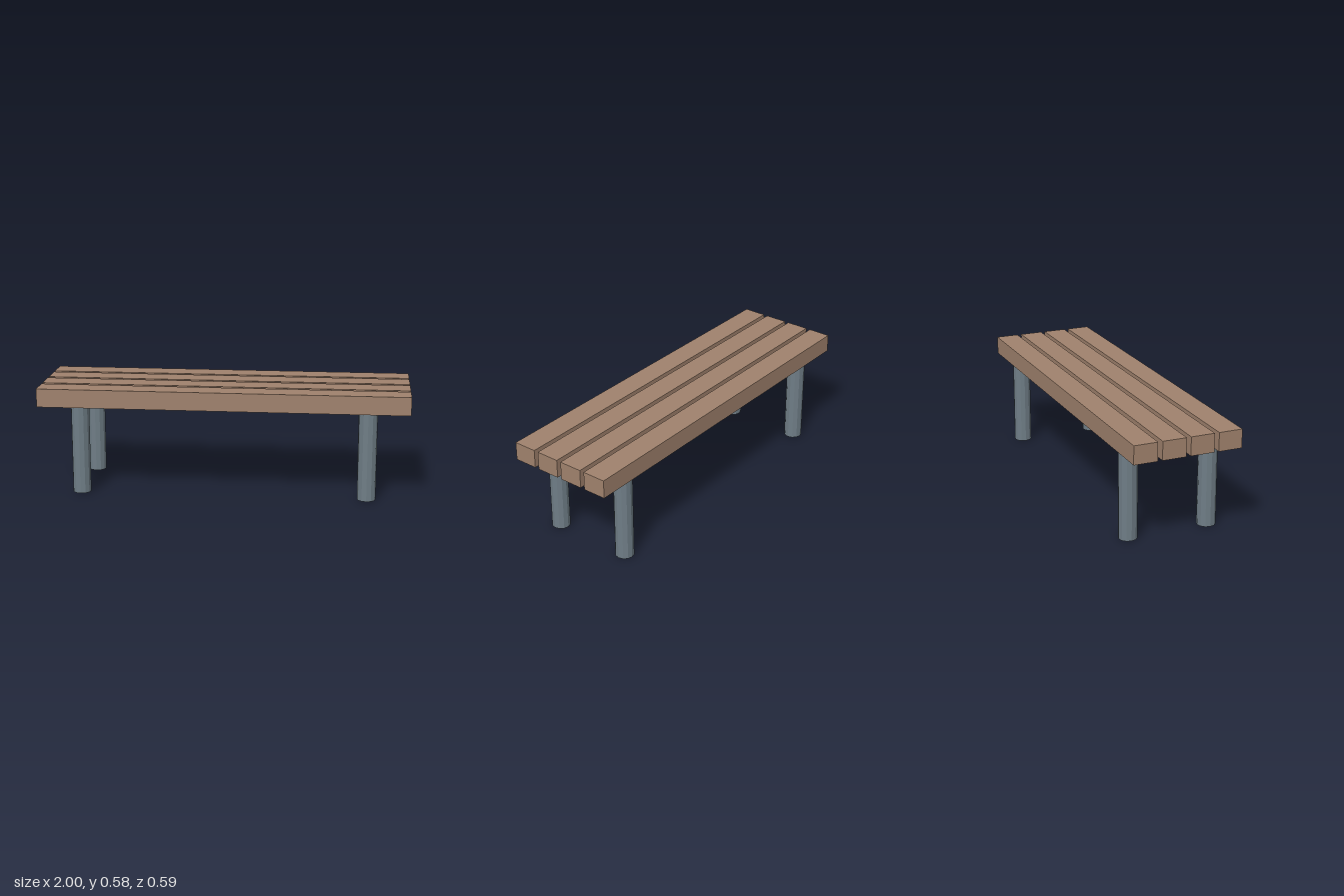
import * as THREE from 'three';

export function createModel() {
  const bench = new THREE.Group();
  bench.name = 'bench';

  const wood = new THREE.MeshStandardMaterial({ color: 0xa0826d });
  wood.name = 'wood';
  const metal = new THREE.MeshStandardMaterial({ color: 0x6f7d86 });
  metal.name = 'metal';

  const legHeight = 0.485;
  const plankHeight = 0.1;
  const plankDepth = 0.128;
  const plankSpacing = 0.1527;

  // Four seat planks with narrow gaps
  const plankGeometry = new THREE.BoxGeometry(2, plankHeight, plankDepth);
  for (let i = 0; i < 4; i++) {
    const plank = new THREE.Mesh(plankGeometry, wood);
    plank.name = `seatPlank${i + 1}`;
    plank.position.set(0, legHeight + plankHeight / 2, (i - 1.5) * plankSpacing);
    bench.add(plank);
  }

  // Four twelve-sided legs, faceted without changing the material
  const legGeometry = new THREE.CylinderGeometry(0.05, 0.05, legHeight, 12).toNonIndexed();
  legGeometry.computeVertexNormals();
  for (const x of [-1, 1]) {
    for (const z of [-1, 1]) {
      const leg = new THREE.Mesh(legGeometry, metal);
      leg.name = `${z > 0 ? 'front' : 'back'}${x > 0 ? 'Left' : 'Right'}Leg`;
      leg.position.set(x * 0.777, legHeight / 2, z * 0.222);
      bench.add(leg);
    }
  }

  return bench;
}
